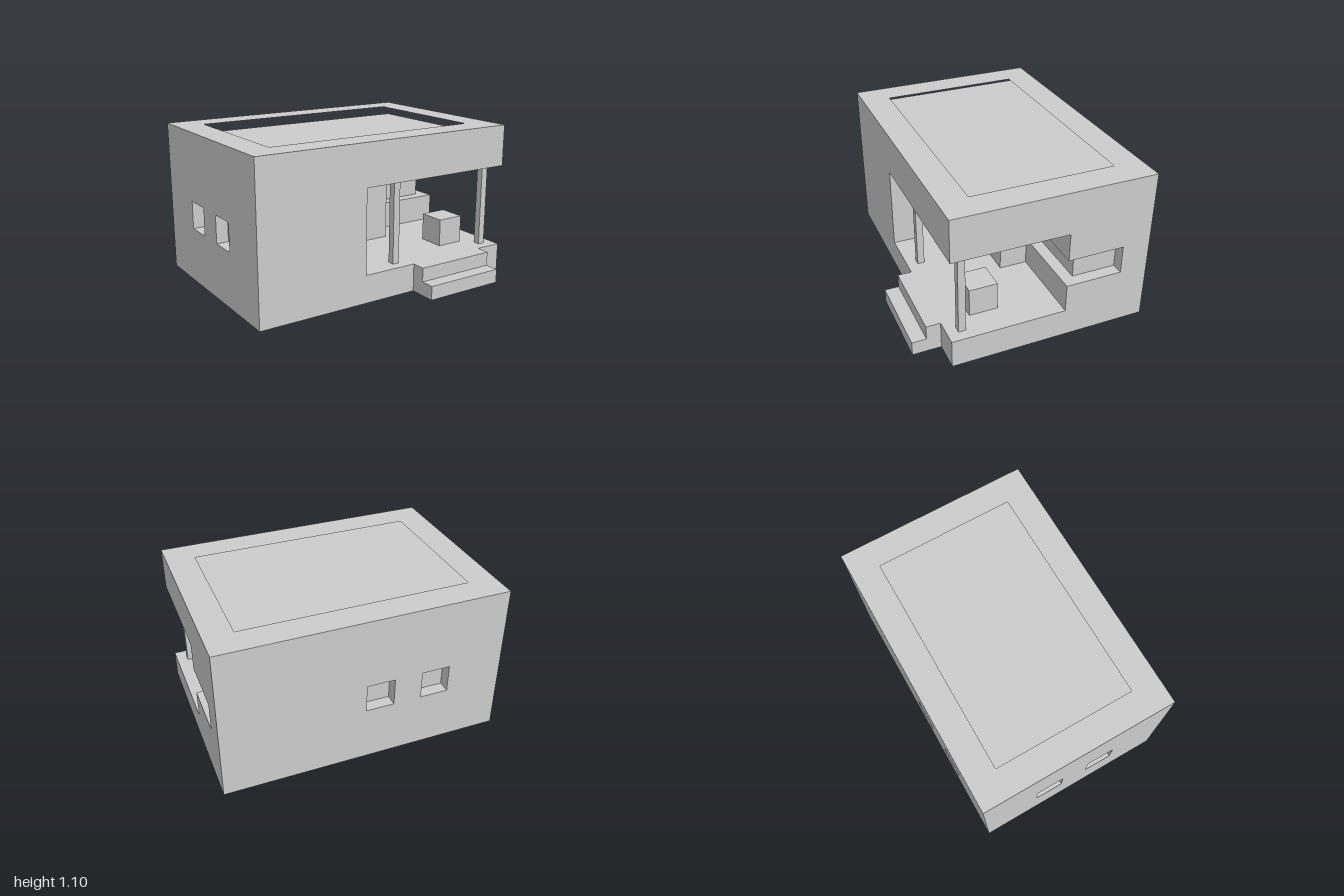
import * as THREE from 'three';

const material = new THREE.MeshStandardMaterial({ color: 0xcccccc, flatShading: true });

// Raise a floor plan, given as [x, z] corners, from height y0 to y1.
function plan(name, outline, y0, y1, hole) {
  const toPoints = (list) => list.map(([x, z]) => new THREE.Vector2(x, -z));
  const shape = new THREE.Shape(toPoints(outline));
  if (hole) shape.holes.push(new THREE.Path(toPoints(hole)));
  const geometry = new THREE.ExtrudeGeometry(shape, { depth: y1 - y0, bevelEnabled: false });
  geometry.rotateX(-Math.PI / 2).translate(0, y0, 0);
  const mesh = new THREE.Mesh(geometry, material);
  mesh.name = name;
  return mesh;
}

const rect = (x0, x1, z0, z1) => [[x0, z0], [x1, z0], [x1, z1], [x0, z1]];

export function createModel() {
  const house = new THREE.Group();
  house.name = 'house';
  const d = 0.085; // window depth

  // Plan pieces shared by the wall layers
  const footprint = rect(-1, 1, -0.8, 0.6);
  const doorway = [[-0.2, 0.2], [-0.4, 0.2], [-0.4, 0.4], [-0.2, 0.4]];
  const porchCorner = [[0.4, -0.2], [0.4, 0], [-0.2, 0]];
  const frontLeft = [[-0.2, 0.6], [-1, 0.6]];
  const backWindow = (x) => [[x, -0.8], [x, -0.8 + d], [x + 0.2, -0.8 + d], [x + 0.2, -0.8]];
  const sideWindow = (z) => [[-1, z + 0.2], [-1 + d, z + 0.2], [-1 + d, z], [-1, z]];
  const cornerWindow = [[1, -0.6], [1 - d, -0.6], [1 - d, -0.2 - d], [0.4, -0.2 - d]];

  // Base and walls around the corner porch
  house.add(plan('floorSlab', footprint, 0, 0.2));
  house.add(plan('lowerWalls', [[-1, -0.8], [1, -0.8], [1, -0.2],
    ...porchCorner, ...doorway, ...frontLeft], 0.2, 0.4));
  house.add(plan('windowWalls', [[-1, -0.8], ...backWindow(-0.6), ...backWindow(-0.2), [1, -0.8],
    ...cornerWindow, ...porchCorner, ...doorway, ...frontLeft,
    ...sideWindow(0), ...sideWindow(-0.4)], 0.4, 0.6));
  house.add(plan('upperWalls', [[-1, -0.8], [1, -0.8], [1, -0.2],
    ...porchCorner, ...frontLeft], 0.6, 0.8));

  // Flat roof with a parapet
  house.add(plan('roofSlab', footprint, 0.8, 1));
  house.add(plan('parapet', footprint, 1, 1.1, rect(-0.8, 0.8, -0.6, 0.4)));

  // Porch posts, block and entrance steps
  for (const x of [0.1, 0.9]) {
    house.add(plan('porchPost', rect(x - 0.025, x + 0.025, 0.475, 0.525), 0.2, 0.8));
  }
  house.add(plan('porchBlock', rect(0.6, 0.8, 0.2, 0.4), 0.2, 0.4));
  house.add(plan('upperStep', rect(0.2, 0.8, 0.6, 0.7), 0, 0.2));
  house.add(plan('lowerStep', rect(0.2, 0.8, 0.7, 0.8), 0, 0.1));

  return house;
}
